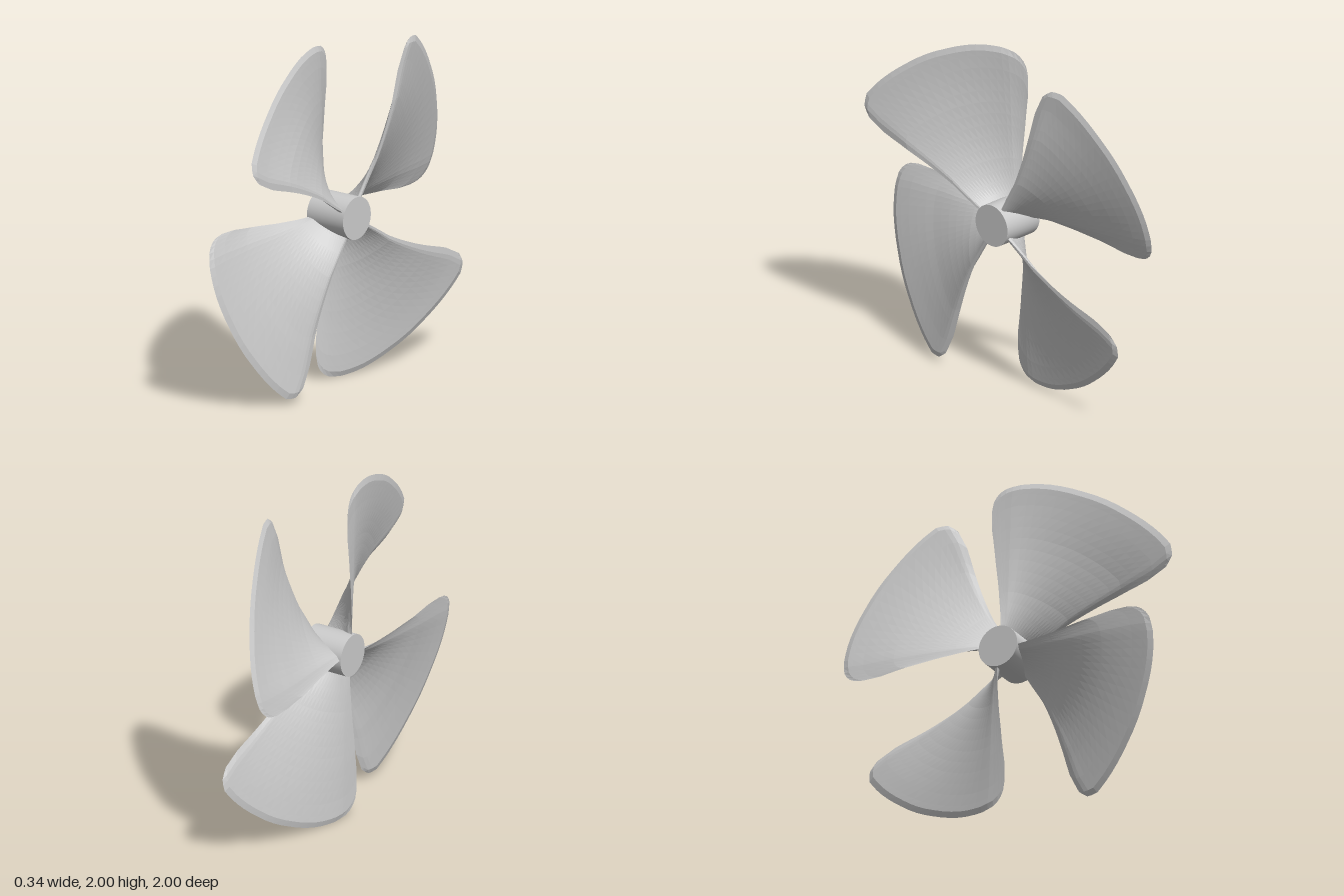
import * as THREE from 'three';

// Piecewise-linear lookup in a list of [key, value] pairs
function lookup(table, k) {
  for (let i = 1; i < table.length; i++) {
    const [k0, v0] = table[i - 1], [k1, v1] = table[i];
    if (k <= k1) return v0 + (v1 - v0) * (k - k0) / (k1 - k0);
  }
  return table[table.length - 1][1];
}

// Blade outline: edge angles (degrees) along the span, tip radius across the chord
const LEADING = [[0, 6], [0.25, 1], [0.54, -1.8], [0.86, -3.3], [1, -2.9]];
const TRAILING = [[0, 63], [0.29, 60.7], [0.54, 63.2], [0.84, 66.4], [1, 66]];
const TIP = [[0, 0.85], [0.015, 0.92], [0.04, 0.96], [0.08, 0.99], [0.15, 1.01], [0.26, 1.023], [0.44, 1.032],
  [0.68, 1.06], [0.85, 1.093], [0.93, 1.105], [0.975, 1.073], [1, 1.01]];
const ROOT = 0.08, HALF = 0.012, COLS = 28;
const SPAN = [...Array(14).keys()].map(i => i / 14).concat([0.965, 1]);

// Twisted blade: a front and a back sheet meeting along the rim
function bladeGeometry(tipLead, tipTrail) {
  const pos = [], idx = [], row = COLS + 1;
  for (const side of [1, -1]) {
    const base = pos.length / 3;
    SPAN.forEach((s, i) => {
      const a = THREE.MathUtils.degToRad(lookup(LEADING, s));
      const b = THREE.MathUtils.degToRad(lookup(TRAILING, s));
      const blend = Math.min(1, s * 1.6);
      const xa = THREE.MathUtils.lerp(-0.12, tipLead, blend);
      const xb = THREE.MathUtils.lerp(0.11, tipTrail, blend);
      for (let j = 0; j <= COLS; j++) {
        const t = (1 - Math.cos(Math.PI * j / COLS)) / 2;
        const r = ROOT + (lookup(TIP, t) - ROOT) * s;
        const ang = a + (b - a) * t;
        // Offset along the surface normal, thinning to nothing at the rim
        const slope = (xb - xa) / (r * (b - a));
        const h = side * HALF * Math.min(1, t / 0.12, (1 - t) / 0.035, (1 - s) / 0.035) / Math.hypot(1, slope);
        const swing = -h * slope;
        pos.push(xa + (xb - xa) * t + h,
          r * Math.cos(ang) - swing * Math.sin(ang),
          r * Math.sin(ang) + swing * Math.cos(ang));
        if (i && j) {
          const d = base + i * row + j, c = d - 1, q = d - row, p = q - 1;
          if (side > 0) idx.push(p, c, d, p, d, q);
          else idx.push(p, d, c, p, q, d);
        }
      }
    });
  }
  const g = new THREE.BufferGeometry();
  g.setAttribute('position', new THREE.Float32BufferAttribute(pos, 3));
  g.setIndex(idx);
  g.computeVertexNormals();
  return g;
}

export function createModel() {
  const model = new THREE.Group();
  model.name = 'propeller';
  const rotor = new THREE.Group();
  rotor.name = 'rotor';
  rotor.position.set(0, 0.995, -0.015);
  model.add(rotor);

  // Hub along the x axis
  const hub = new THREE.Mesh(new THREE.CylinderGeometry(0.125, 0.125, 0.265, 40),
    new THREE.MeshStandardMaterial({ color: 0xcccccc }));
  hub.name = 'hub';
  hub.rotation.z = -Math.PI / 2;
  rotor.add(hub);

  // Four blades, each with its own slight axial set of the two edges
  const bladeMaterial = new THREE.MeshStandardMaterial({ color: 0xcccccc, flatShading: true, side: THREE.DoubleSide });
  const edges = [[-0.125, 0.17], [-0.172, 0.145], [-0.132, 0.125], [-0.162, 0.075]];
  edges.forEach(([lead, trail], k) => {
    const blade = new THREE.Mesh(bladeGeometry(lead, trail), bladeMaterial);
    blade.name = 'blade' + (k + 1);
    blade.rotation.x = -k * Math.PI / 2;
    rotor.add(blade);
  });
  return model;
}
